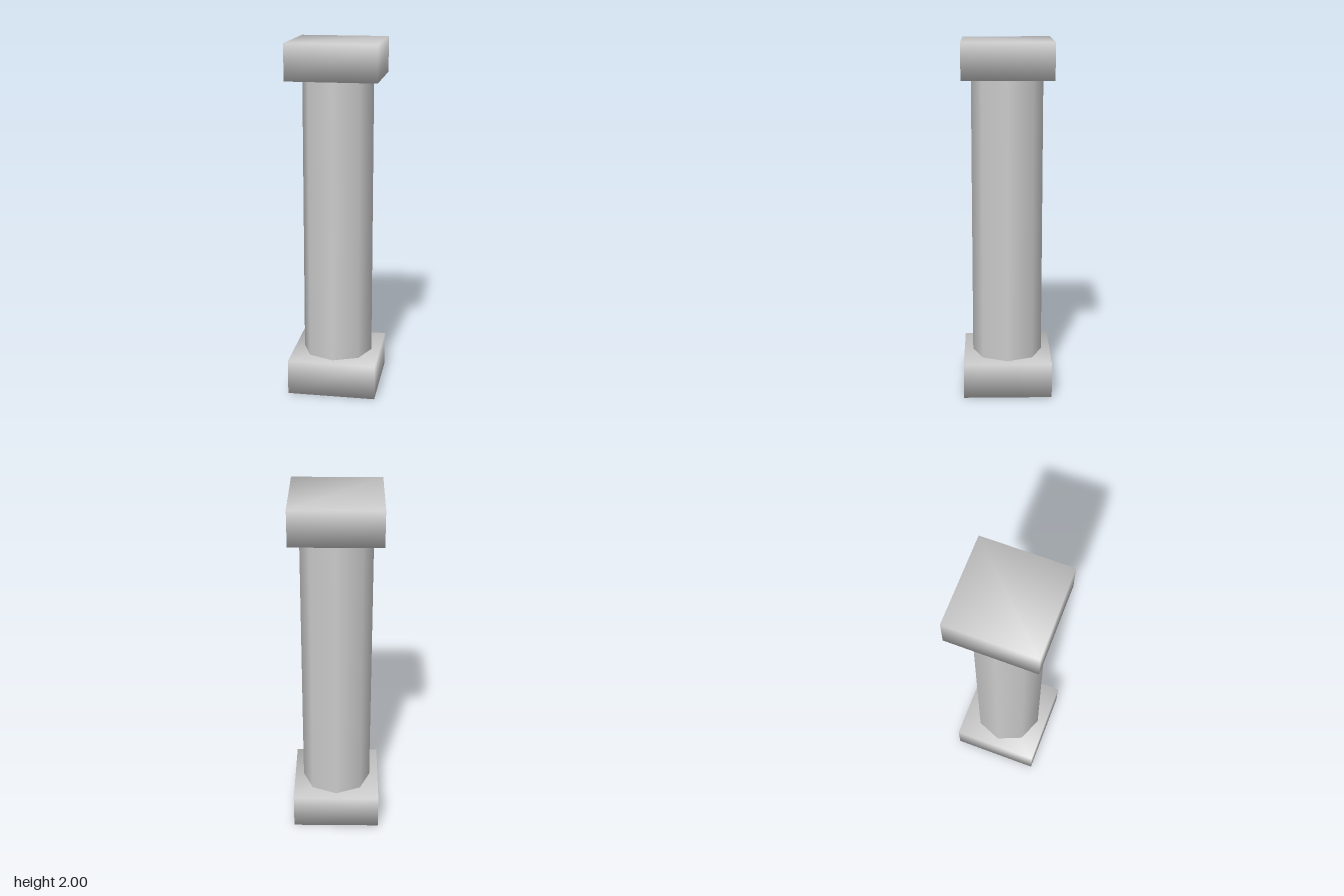
import * as THREE from 'three';
import { mergeVertices } from 'three/addons/utils/BufferGeometryUtils.js';

const material = new THREE.MeshStandardMaterial({ color: 0xcccccc });

// Box whose corners are shared, so shading runs softly across its edges
function softBox(w, h, d) {
  const box = new THREE.BoxGeometry(w, h, d);
  box.deleteAttribute('normal');
  box.deleteAttribute('uv');
  const geometry = mergeVertices(box);
  geometry.computeVertexNormals();
  return geometry;
}

export function createModel() {
  const column = new THREE.Group();
  column.name = 'column';

  const add = (name, geometry, y) => {
    const mesh = new THREE.Mesh(geometry, material);
    mesh.name = name;
    mesh.position.y = y;
    column.add(mesh);
  };

  // Square blocks at foot and head
  const block = softBox(0.5, 0.2, 0.5);
  add('base', block, 0.1);
  add('capital', block, 1.9);

  // Smooth-shaded eight-sided shaft, corners on the axes
  add('shaft', new THREE.CylinderGeometry(0.2, 0.2, 1.6, 8), 1);

  return column;
}
